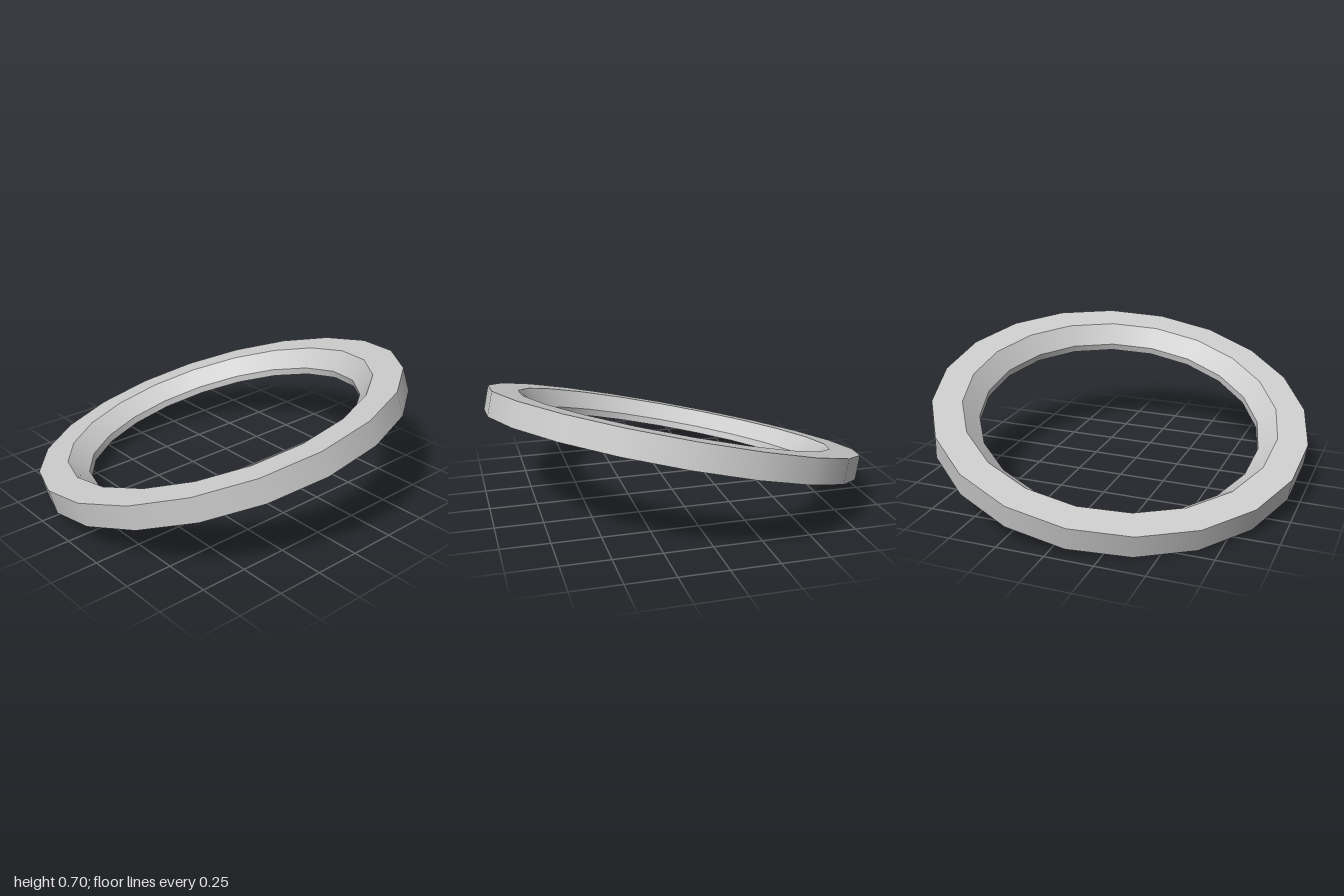
import * as THREE from 'three';
import { mergeGeometries } from 'three/addons/utils/BufferGeometryUtils.js';

const SIDES = 20;
const PHASE = THREE.MathUtils.degToRad(6.9);

export function createModel() {
  const model = new THREE.Group();
  model.name = 'tiltedRing';

  // Closed cross-section [radius, height]: outer wall, top rim, bevel, inner wall, base
  const section = [
    [1.01, -0.065],
    [1.01, 0.065],
    [0.85, 0.065],
    [0.76, -0.026],
    [0.76, -0.065],
  ].map(([r, y]) => new THREE.Vector2(r, y));

  // One lathe per band: smooth around the ring, sharp between bands
  const bands = section.map((p, i) => new THREE.LatheGeometry(
    [p, section[(i + 1) % section.length]], SIDES, PHASE));

  const ring = new THREE.Mesh(
    mergeGeometries(bands),
    new THREE.MeshStandardMaterial({ color: 0xcccccc }));
  ring.name = 'ring';

  // Lean the axis towards -x and +z, resting the lowest edge on the floor
  const axis = new THREE.Vector3(-0.235, 0.957, 0.168).normalize();
  ring.quaternion.setFromUnitVectors(new THREE.Vector3(0, 1, 0), axis);
  ring.position.y = 0.353;

  model.add(ring);
  return model;
}
